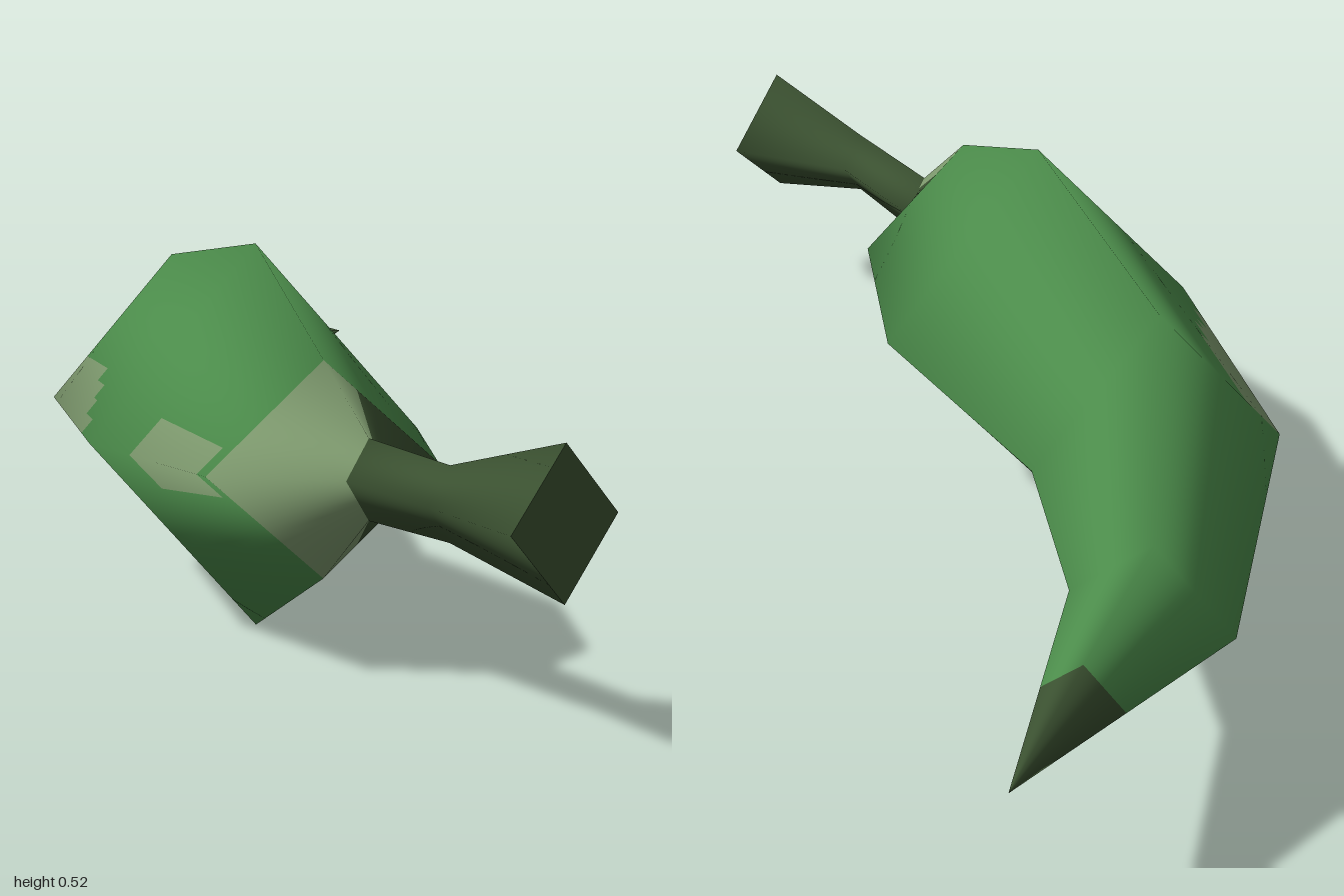
import * as THREE from 'three';

const MID = 0.26; // height of the pepper's axis
const CELLS = 14; // fine cells per coarse face, so colour borders can curve

// Diamond cross-sections, tip to stem end: [left x, left z, right x, right z, half height]
const RINGS = [
  [0.315, -1.0, 0.315, -1.0, 0],
  [-0.05, -0.76, 0.11, -0.59, 0.098],
  [-0.29, -0.28, 0.062, -0.28, 0.205],
  [-0.318, 0.19, 0.145, 0.14, 0.26],
  [-0.225, 0.50, 0.09, 0.455, 0.14],
  [-0.062, 0.575, 0.0, 0.56, 0.052],
  [-0.015, 0.79, 0.05, 0.75, 0.047],
  [0.025, 1.0, 0.195, 0.87, 0.095],
];

// Four corners of a ring: left, top, right, bottom
function corners([lx, lz, rx, rz, h]) {
  const x = (lx + rx) / 2, z = (lz + rz) / 2;
  return [[lx, MID, lz], [x, MID + h, z], [rx, MID, rz], [x, MID - h, z]]
    .map((p) => new THREE.Vector3(...p));
}

// Which part a cell belongs to; across runs 0 (left ridge) to 1 (right ridge)
function partAt(seg, across, v) {
  if (seg === 0) return v < 0.52 ? 'tip' : 'body';
  if (seg === 2) {
    const width = 0.13 * Math.min(1, (0.85 - v) * 2.2);
    return across < width ? 'blush' : 'body';
  }
  if (seg === 3) return v > 0.35 && v < 0.93 && across < 0.12 ? 'blush' : 'body';
  if (seg === 4) return across < 0.66 ? 'shoulder' : 'calyx';
  return seg > 4 ? 'stem' : 'body';
}

export function createModel() {
  const group = new THREE.Group();
  const mat = (name, color) => {
    const m = new THREE.MeshStandardMaterial({ color });
    m.name = name;
    return m;
  };
  const green = mat('pepperGreen', 0x4b8b4a);
  const pale = mat('paleGreen', 0x7f9b6f);
  const dark = mat('darkGreen', 0x3a5030);
  const materials = { body: green, tip: dark, blush: pale, shoulder: pale, calyx: dark, stem: dark };

  // Coarse skin, used for positions and smooth normals
  const pts = RINGS.flatMap(corners);
  const index = [];
  for (let i = 0; i < RINGS.length - 1; i++) {
    for (let j = 0; j < 4; j++) {
      const a = i * 4 + j, b = i * 4 + (j + 1) % 4;
      index.push(a, a + 4, b, a + 4, b + 4, b);
    }
  }
  const coarse = new THREE.BufferGeometry().setFromPoints(pts);
  coarse.setIndex(index);
  coarse.computeVertexNormals();
  const normals = pts.map((_, k) => new THREE.Vector3().fromBufferAttribute(coarse.attributes.normal, k));

  // Fine cells sorted into parts
  const parts = {};
  const blend = (list, k, s, v) => {
    const [a, b, c, d] = k.map((n) => list[n]);
    return a.clone().lerp(b, s).lerp(d.clone().lerp(c, s), v);
  };
  for (let i = 0; i < RINGS.length - 1; i++) {
    for (let j = 0; j < 4; j++) {
      const a = i * 4 + j, b = i * 4 + (j + 1) % 4;
      const quad = [a, b, b + 4, a + 4];
      for (let p = 0; p < CELLS; p++) {
        for (let q = 0; q < CELLS; q++) {
          const s = (p + 0.5) / CELLS, v = (q + 0.5) / CELLS;
          const across = [s / 2, 0.5 + s / 2, 1 - s / 2, 0.5 - s / 2][j];
          const name = partAt(i, across, v);
          const out = parts[name] ??= { pos: [], nor: [] };
          for (const [ds, dv] of [[0, 0], [0, 1], [1, 0], [0, 1], [1, 1], [1, 0]]) {
            const cs = (p + ds) / CELLS, cv = (q + dv) / CELLS;
            out.pos.push(...blend(pts, quad, cs, cv).toArray());
            out.nor.push(...blend(normals, quad, cs, cv).normalize().toArray());
          }
        }
      }
    }
  }
  for (const [name, { pos, nor }] of Object.entries(parts)) {
    const geo = new THREE.BufferGeometry();
    geo.setAttribute('position', new THREE.Float32BufferAttribute(pos, 3));
    geo.setAttribute('normal', new THREE.Float32BufferAttribute(nor, 3));
    const mesh = new THREE.Mesh(geo, materials[name]);
    mesh.name = name;
    group.add(mesh);
  }

  // Flat cut end of the stem
  const end = new THREE.BufferGeometry().setFromPoints(pts.slice(-4));
  end.setIndex([0, 3, 2, 0, 2, 1]);
  end.computeVertexNormals();
  const stemEnd = new THREE.Mesh(end, dark);
  stemEnd.name = 'stemEnd';
  group.add(stemEnd);

  return group;
}
